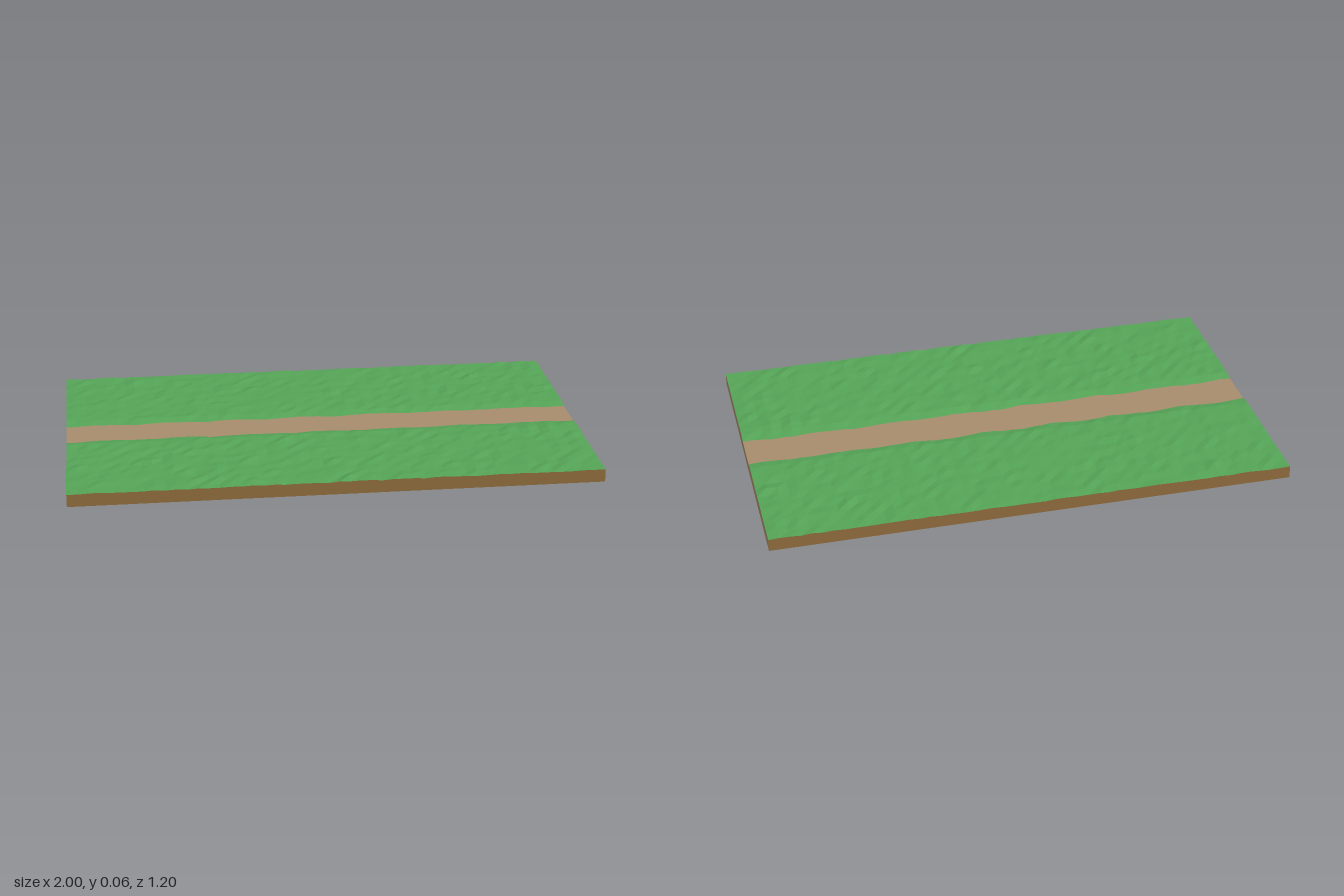
import * as THREE from 'three';

const COLS = 50, HALF_X = 1, HALF_Z = 0.6, PATH_Y = 0.042;
const GRASS = 0x55a457, DIRT = 0xa88c6c, SOIL = 0x94703f;

// Repeatable noise in 0..1
function seeded(seed) {
  return () => {
    seed = (seed * 1664525 + 1013904223) % 4294967296;
    return seed / 4294967296;
  };
}

// Flat-shaded sheet through rows of points; it faces (row direction) x (column direction)
function sheet(name, rows, color) {
  const n = rows[0].length, index = [];
  for (let r = 0; r < rows.length - 1; r++) {
    for (let c = 0; c < n - 1; c++) {
      const a = r * n + c, b = a + n;
      index.push(a, b, a + 1, b, b + 1, a + 1);
    }
  }
  const geometry = new THREE.BufferGeometry().setFromPoints(rows.flat());
  geometry.setIndex(index);
  geometry.computeVertexNormals();
  const mesh = new THREE.Mesh(geometry, new THREE.MeshStandardMaterial({ color, flatShading: true }));
  mesh.name = name;
  return mesh;
}

export function createModel() {
  const group = new THREE.Group();
  group.name = 'grassTileWithPath';
  const random = seeded(17);

  // Rows of one grass strip, from the wavy path edge out to the border
  function grassRows(side) {
    const rows = [];
    for (let r = 0; r <= 13; r++) {
      const row = [];
      for (let c = 0; c <= COLS; c++) {
        const x = -HALF_X + (2 * HALF_X * c) / COLS;
        let z = 0.08 + 0.04 * r, y = PATH_Y;
        if (r === 0) {
          z += 0.005 * Math.sin(c * 0.9 + side) + 0.008 * (random() - 0.5);
        } else {
          const border = r === 13 || c === 0 || c === COLS;
          y = 0.047 + (border ? 0.004 : 0.006) * random();
          if (!border && r > 1 && random() > 0.9) y += 0.006 * random();
        }
        row.push(new THREE.Vector3(x, y, side * z));
      }
      rows.push(row);
    }
    return rows;
  }

  const front = grassRows(1);
  const back = grassRows(-1).reverse();
  group.add(sheet('backGrass', back, GRASS));
  group.add(sheet('frontGrass', front, GRASS));

  // Flat dirt path between the strips
  group.add(sheet('dirtPath', [back.at(-1), front[0]], DIRT));

  // Walls drop from the grass border to the ground
  const all = [...back, ...front];
  const drop = (edge) => [edge, edge.map((p) => new THREE.Vector3(p.x, 0, p.z))];
  const leftEdge = all.map((row) => row[COLS]).reverse();
  const rightEdge = all.map((row) => row[0]);
  group.add(sheet('frontSoil', drop(all.at(-1)), SOIL));
  group.add(sheet('backSoil', drop([...all[0]].reverse()), SOIL));
  group.add(sheet('leftEnd', drop(leftEdge), DIRT));
  group.add(sheet('rightEnd', drop(rightEdge), DIRT));

  // Underside
  const line = (z) => [-HALF_X, HALF_X].map((x) => new THREE.Vector3(x, 0, z));
  group.add(sheet('underside', [line(HALF_Z), line(-HALF_Z)], DIRT));

  return group;
}
